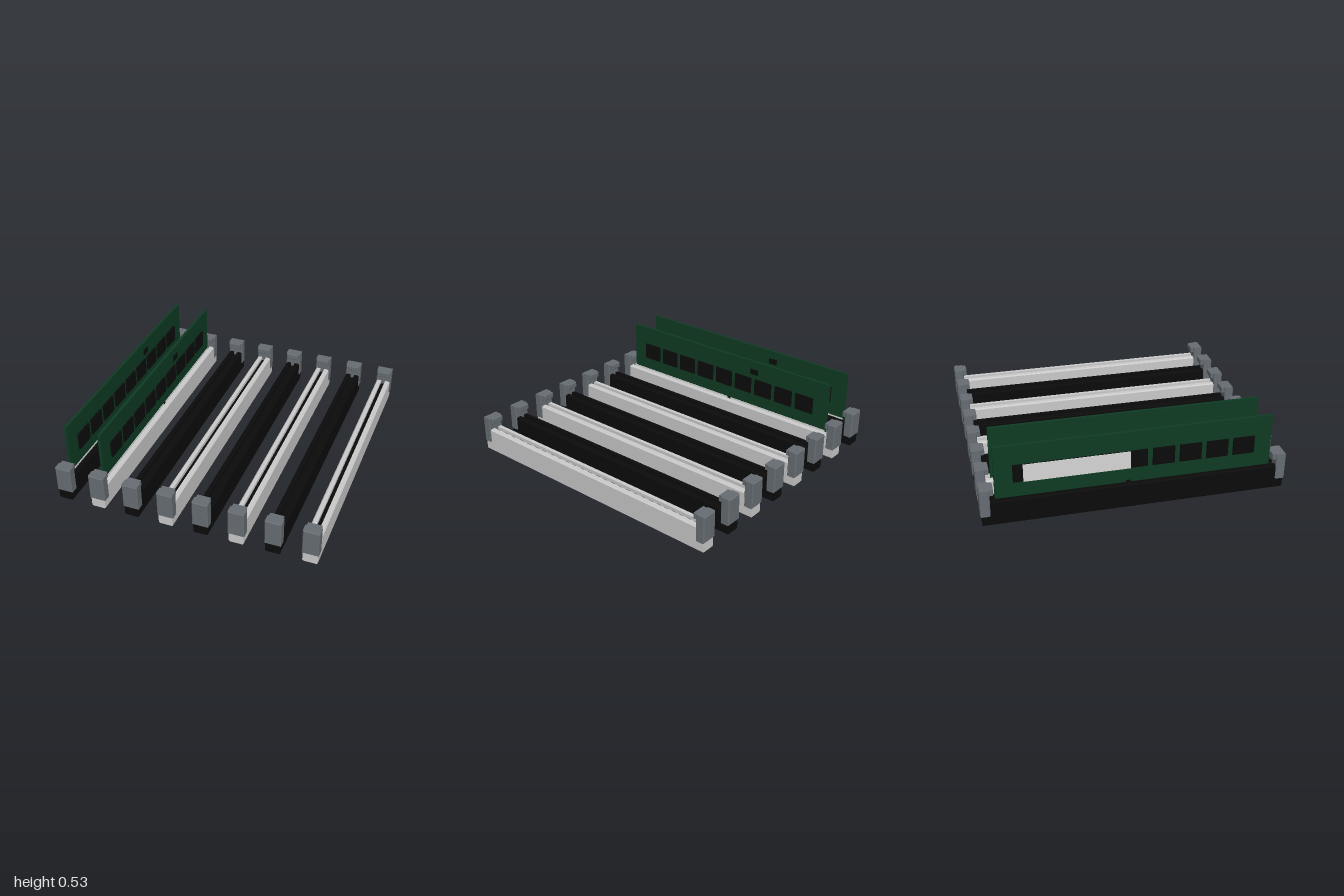
import * as THREE from 'three';

const mat = (name, color) => {
  const m = new THREE.MeshStandardMaterial({ color });
  m.name = name;
  return m;
};

export function createModel() {
  const black = mat('black plastic', 0x0b0b0b);
  const light = mat('light grey plastic', 0xcacaca);
  const grey = mat('latch grey', 0x666d72);
  const green = mat('board green', 0x0e3b22);
  const white = mat('label white', 0xd6d6d6);

  const add = (parent, name, geo, material, x = 0, y = 0, z = 0) => {
    const m = new THREE.Mesh(geo, material);
    m.name = name;
    m.position.set(x, y, z);
    parent.add(m);
    return m;
  };
  const box = (w, h, d) => new THREE.BoxGeometry(w, h, d);

  // Box with all edges chamfered by c
  const chamferBox = (w, h, d, c) => {
    const x = w / 2 - c, y = h / 2 - c;
    const shape = new THREE.Shape([[-x, -y], [x, -y], [x, y], [-x, y]].map((p) => new THREE.Vector2(...p)));
    return new THREE.ExtrudeGeometry(shape, {
      depth: d - 2 * c, bevelEnabled: true, bevelSize: c, bevelThickness: c, bevelSegments: 1,
    }).translate(0, 0, -d / 2 + c);
  };

  // Socket cross-section: chamfered block with a groove along the top
  const half = [[0, 0], [0.043, 0], [0.05, 0.007], [0.05, 0.162], [0.042, 0.17], [0.015, 0.17], [0.015, 0.125]];
  const outline = [...half, ...half.slice(1).reverse().map(([x, y]) => [-x, y])];
  const socketGeo = new THREE.ExtrudeGeometry(
    new THREE.Shape(outline.map((p) => new THREE.Vector2(...p))),
    { depth: 1.98, bevelEnabled: false },
  ).translate(0, 0, -0.99);
  const grooveGeo = box(0.03, 0.02, 1.86);
  const latchGeo = chamferBox(0.11, 0.185, 0.065, 0.006);
  const hookGeo = chamferBox(0.092, 0.04, 0.05, 0.004);

  const makeSocket = (bodyMat) => {
    const g = new THREE.Group();
    g.name = 'socket';
    add(g, 'socketBody', socketGeo, bodyMat);
    add(g, 'grooveFloor', grooveGeo, black, 0, 0.135, 0);
    for (const s of [-1, 1]) {
      add(g, 'endLatch', latchGeo, grey, 0, 0.1625, s * 0.9675);
      add(g, 'latchHook', hookGeo, grey, 0, 0.235, s * 0.935);
    }
    return g;
  };

  const chipGeo = box(0.013, 0.12, 0.143);
  const makeBoard = () => {
    const g = new THREE.Group();
    g.name = 'memoryBoard';
    add(g, 'circuitBoard', box(0.02, 0.385, 1.8), green, 0, 0.3375, 0);
    // Contact strip in two lengths, leaving the key notch between them
    for (const [a, b] of [[-0.895, -0.065], [-0.035, 0.895]]) {
      add(g, 'contactStrip', box(0.004, 0.03, b - a), white, 0.011, 0.165, (a + b) / 2);
    }
    add(g, 'keyNotch', box(0.024, 0.03, 0.03), black, 0, 0.165, -0.05);
    // Nine chips on each face
    for (const s of [-1, 1]) {
      for (let i = -4; i <= 4; i++) add(g, 'memoryChip', chipGeo, black, s * 0.0155, 0.335, i * 0.178);
    }
    add(g, 'controllerChip', box(0.008, 0.04, 0.065), black, 0.013, 0.45, -0.272);
    add(g, 'label', box(0.004, 0.122, 0.68), white, -0.023, 0.335, -0.38);
    return g;
  };

  const model = new THREE.Group();
  model.name = 'memorySocketBank';
  for (let i = 0; i < 8; i++) {
    const x = -0.855 + i * (1.71 / 7);
    const socket = makeSocket(i % 2 ? light : black);
    socket.position.x = x;
    model.add(socket);
    // The first two sockets are filled
    if (i < 2) {
      const board = makeBoard();
      board.position.x = x;
      model.add(board);
    }
  }
  return model;
}
